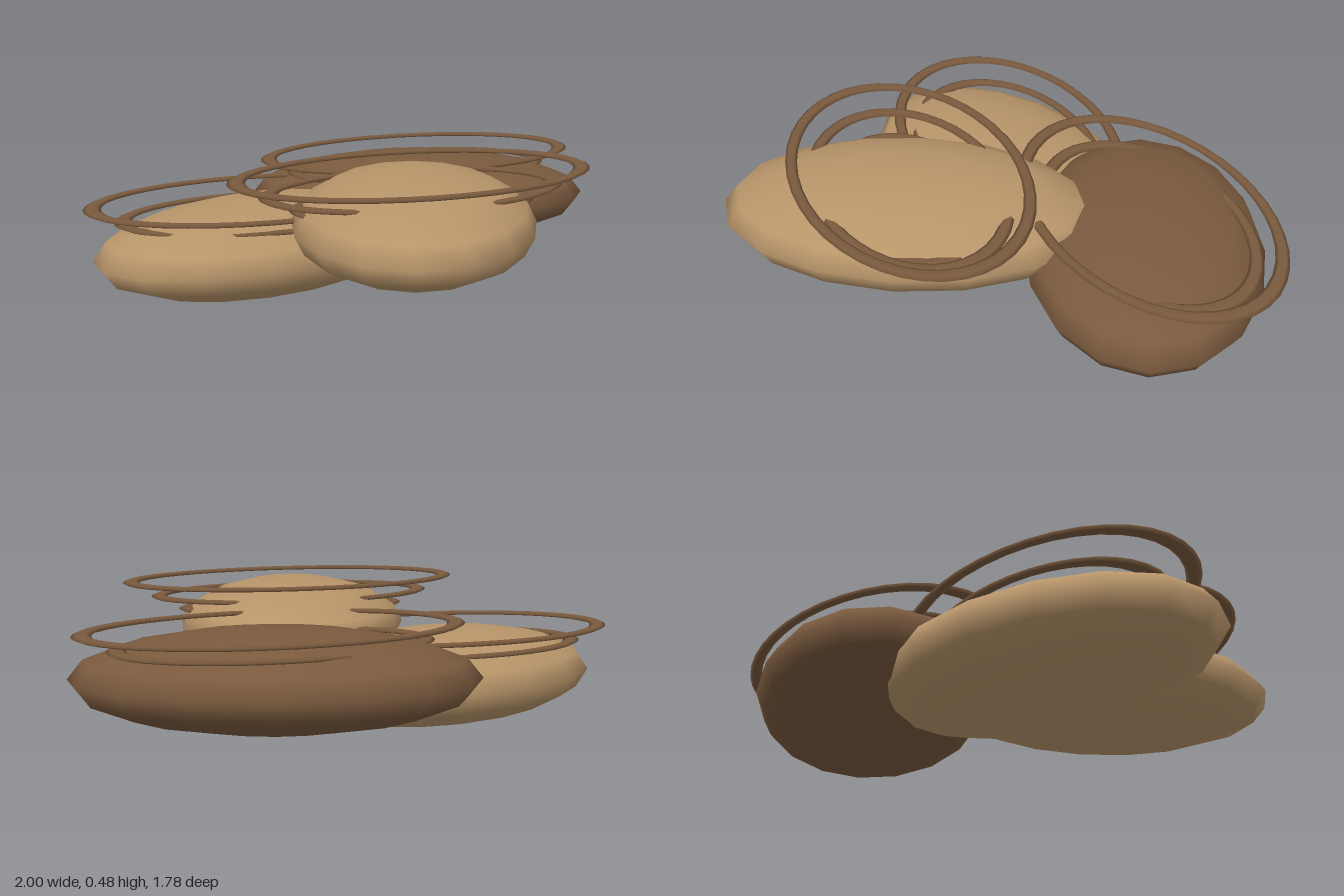
import * as THREE from 'three';

export function createModel() {
  const model = new THREE.Group();
  model.name = 'ringedStones';

  const tan = new THREE.MeshStandardMaterial({ color: 0xb8956a });
  tan.name = 'tan';
  const brown = new THREE.MeshStandardMaterial({ color: 0x7a5a3e });
  brown.name = 'brown';

  const DEPTH = 0.63; // depth of the ovals relative to their width
  const stoneGeometry = new THREE.SphereGeometry(1, 16, 8);

  // Flat oval ring lying level
  const ringGeometry = (radius) =>
    new THREE.TorusGeometry(radius, 0.031, 6, 40).rotateX(Math.PI / 2).scale(1, 0.25, DEPTH);
  const rings = [
    { geometry: ringGeometry(0.605), y: 0.16 },
    { geometry: ringGeometry(0.502), y: 0.108 },
    { geometry: ringGeometry(0.4), y: 0.06 },
  ];

  // One flattened stone, turned about y, with three level rings round its top
  function addStone(name, material, position, turn) {
    const group = new THREE.Group();
    group.name = name;
    group.position.set(...position);

    const stone = new THREE.Mesh(stoneGeometry, material);
    stone.name = name + 'Body';
    stone.scale.set(0.65, 0.163, 0.41);
    stone.rotation.y = turn;
    group.add(stone);

    rings.forEach(({ geometry, y }, i) => {
      const ring = new THREE.Mesh(geometry, brown);
      ring.name = name + 'Ring' + (i + 1);
      ring.position.y = y;
      group.add(ring);
    });
    model.add(group);
  }

  addStone('frontStone', tan, [0, 0.315, 0.28], 1.14);
  addStone('rightStone', tan, [-0.363, 0.167, -0.205], 0.3);
  addStone('backStone', brown, [0.362, 0.24, -0.447], -0.4);

  return model;
}
